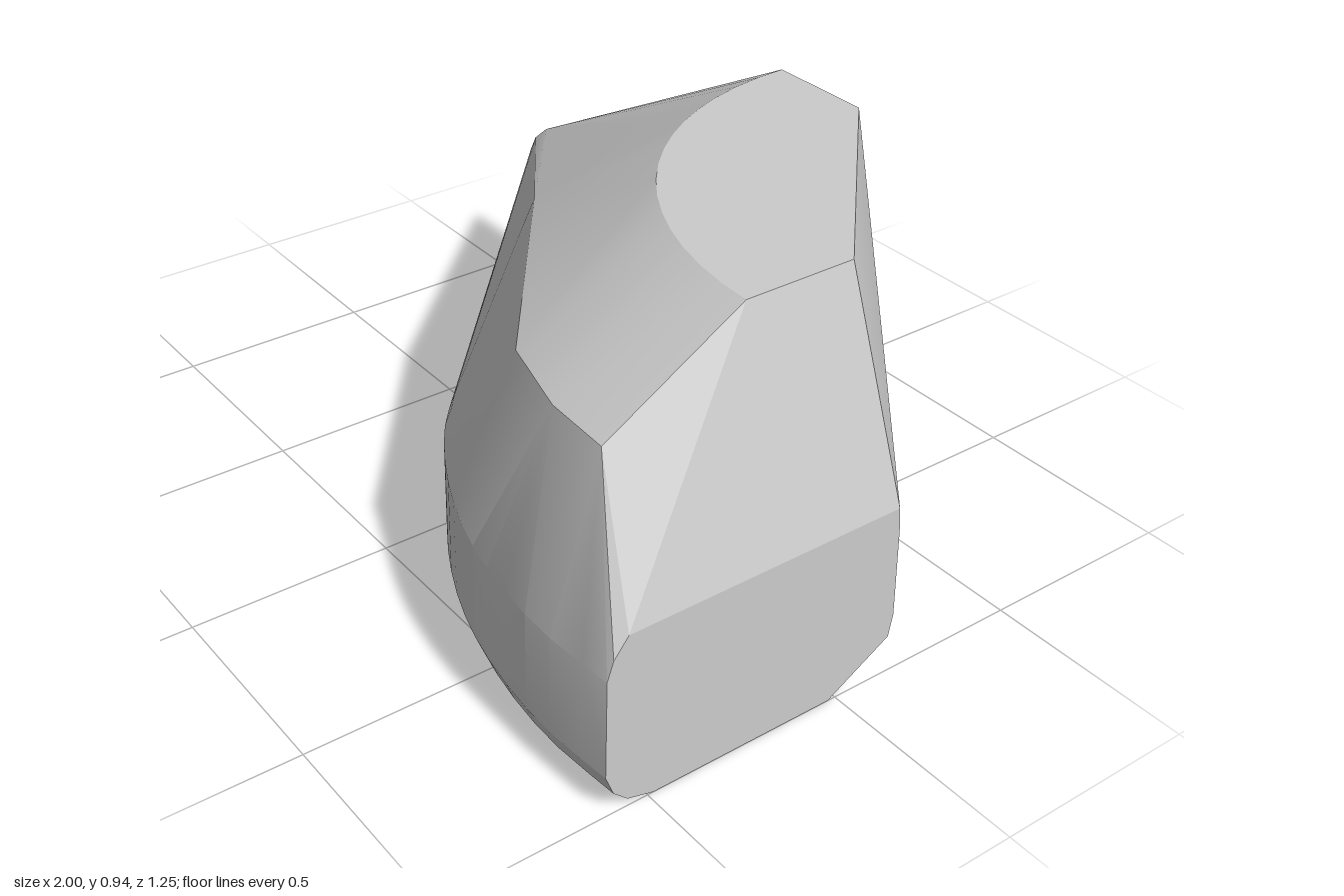
import * as THREE from 'three';
import { ConvexGeometry } from 'three/addons/geometries/ConvexGeometry.js';
import { toCreasedNormals } from 'three/addons/utils/BufferGeometryUtils.js';

export function createModel() {
  const group = new THREE.Group();
  const points = [];
  const add = (x, y, z) => points.push(new THREE.Vector3(x, y, z));
  const backZ = (y) => -0.605 - 0.022 * (y / 0.94);

  // Rounded profile of the front wall: [inset, height]
  const profile = [[0.12, 0], [0.055, 0.018], [0.02, 0.05], [0, 0.1], [0, 0.34], [0.015, 0.385], [0.05, 0.43]];

  // Plan of the curved front wall: straight run, then a sweep towards +x
  const sweep = new THREE.SplineCurve([
    [0, 0.305], [0.1, 0.39], [0.25, 0.48], [0.42, 0.552], [0.6, 0.597], [0.8, 0.617], [1, 0.605],
  ].map(([x, z]) => new THREE.Vector2(x, z)));

  for (const [inset, y] of profile) {
    add(-1 + inset * 1.48, y, backZ(y)); // pointed end at the back
    for (let i = 0; i <= 14; i++) {
      const p = sweep.getPoint(i / 14);
      const t = sweep.getTangent(i / 14);
      const x = i === 14 ? 1 : p.x + t.y * inset;
      add(x, y, p.y - t.x * inset);
    }
  }

  // Shoulder between the wall and the top
  for (const [x, y, z] of [[-0.1, 0.73, 0], [0.45, 0.738, 0.43], [0.66, 0.738, 0.488], [0.83, 0.738, 0.497]]) add(x, y, z);

  // Flat top with a rounded front edge
  const topEdge = new THREE.EllipseCurve(0.83, -0.63, 0.8, 0.787, Math.PI, Math.PI / 2, true);
  for (const p of topEdge.getPoints(16)) add(p.x, 0.94, p.y);
  add(0.3, 0.94, -0.627);
  add(0.83, 0.94, -0.12);

  // Flat end face and the diagonal back cut
  for (const [y, z] of [[0.43, -0.14], [0.37, -0.146], [0.15, -0.153], [0.095, -0.143], [0.03, -0.03], [0, 0.02]]) add(1, y, z);
  add(0.3, 0.09, backZ(0.09));
  add(0.22, 0.035, backZ(0.035));
  add(0.11, 0, backZ(0));

  const geometry = toCreasedNormals(new ConvexGeometry(points), 0.3);
  const body = new THREE.Mesh(geometry, new THREE.MeshStandardMaterial({ color: 0xcccccc }));
  body.name = 'facetedBody';
  group.add(body);
  return group;
}
